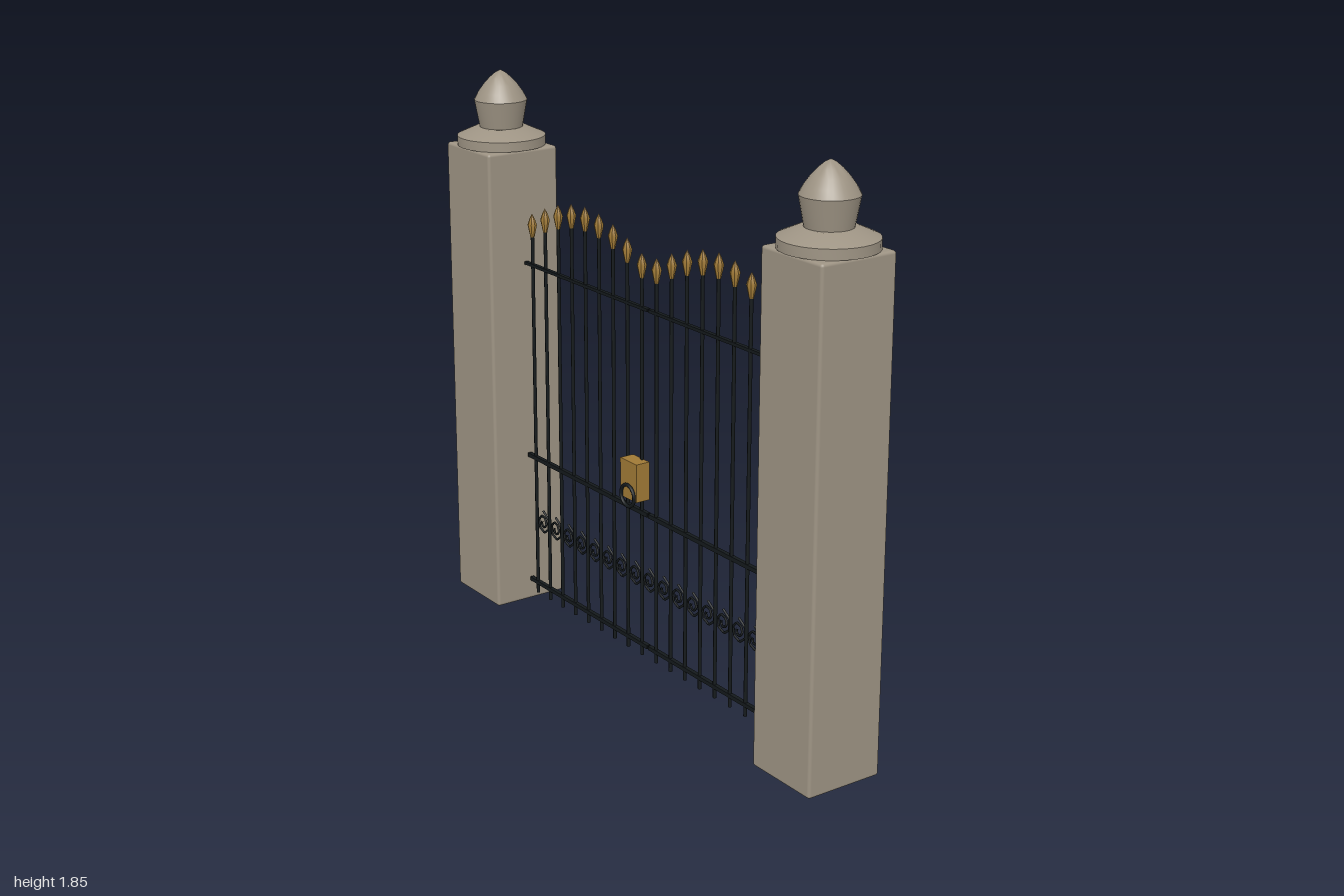
import * as THREE from 'three';
import { toCreasedNormals } from 'three/addons/utils/BufferGeometryUtils.js';
import { RoundedBoxGeometry } from 'three/addons/geometries/RoundedBoxGeometry.js';

const material = (name, color) => {
  const m = new THREE.MeshStandardMaterial({ color });
  m.name = name;
  return m;
};

export function createModel() {
  const stone = material('stone', 0x9e9484);
  const iron = material('iron', 0x14191b);
  const brass = material('brass', 0xa07a36);
  const model = new THREE.Group();
  model.name = 'gate';

  const add = (parent, name, geometry, mat, x = 0, y = 0, z = 0) => {
    const mesh = new THREE.Mesh(geometry, mat);
    mesh.name = name;
    mesh.position.set(x, y, z);
    parent.add(mesh);
    return mesh;
  };
  const lathe = (points, sides) => toCreasedNormals(
    new THREE.LatheGeometry(points.map(([r, y]) => new THREE.Vector2(r, y)), sides), 0.55);

  // Stone pillars with round caps and acorn finials
  const pillarGeo = new RoundedBoxGeometry(0.267, 1.6, 0.267, 2, 0.01);
  const capGeo = lathe([[0, 0], [0.147, 0], [0.147, 0.032], [0.085, 0.06], [0, 0.06]], 32);
  const acornGeo = lathe([[0, 0], [0.071, 0], [0.088, 0.092], [0.074, 0.118], [0.056, 0.143],
    [0.036, 0.165], [0.016, 0.182], [0, 0.19]], 32);
  for (const side of [-1, 1]) {
    const pillar = new THREE.Group();
    pillar.name = side < 0 ? 'rightPillar' : 'leftPillar';
    pillar.position.x = side * 0.853;
    add(pillar, 'pillarShaft', pillarGeo, stone, 0, 0.8);
    add(pillar, 'pillarCap', capGeo, stone, 0, 1.6);
    add(pillar, 'pillarFinial', acornGeo, stone, 0, 1.658);
    model.add(pillar);
  }

  // Small scroll: a coarse spiral tube
  const spiral = [];
  for (let i = 0; i <= 12; i++) {
    const a = Math.PI / 2 - i * Math.PI / 3.2;
    const r = 0.044 - 0.0029 * i;
    spiral.push(new THREE.Vector3(r * 0.93 * Math.cos(a), r * Math.sin(a), 0));
  }
  const path = new THREE.CurvePath();
  for (let i = 0; i < 12; i++) path.add(new THREE.LineCurve3(spiral[i], spiral[i + 1]));
  const scrollGeo = new THREE.TubeGeometry(path, 36, 0.0042, 5);

  // Two leaves, each with nine arched bars, spear tips, scrolls and rails
  const spearGeo = lathe([[0, 0], [0.007, 0], [0.016, 0.042], [0.009, 0.062], [0, 0.08]], 8);
  const pitch = 0.0788;
  for (const side of [-1, 1]) {
    const leaf = new THREE.Group();
    leaf.name = side < 0 ? 'rightLeaf' : 'leftLeaf';
    for (let k = 0; k < 9; k++) {
      const x = (side < 0 ? -0.67 : 0.0394) + k * pitch;
      const tip = 1.396 + 0.085 * Math.sin(Math.PI * k / 8);
      const height = tip - 0.075 - 0.04;
      add(leaf, 'bar', new THREE.CylinderGeometry(0.006, 0.006, height, 8), iron, x, 0.04 + height / 2);
      add(leaf, 'spearTip', spearGeo, brass, x, tip - 0.08);
      add(leaf, 'scroll', scrollGeo, iron, x + pitch / 2, 0.312);
    }
    for (const [y, h] of [[0.08, 0.013], [0.54, 0.014], [1.22, 0.01]]) {
      add(leaf, 'rail', new THREE.BoxGeometry(0.708, h, 0.014), iron, side * 0.357, y);
    }
    model.add(leaf);
  }

  // Brass lock with an iron ring handle
  add(model, 'lock', new THREE.BoxGeometry(0.09, 0.128, 0.05), brass, -0.05, 0.655, 0.021);
  add(model, 'ringHandle', new THREE.TorusGeometry(0.036, 0.006, 8, 24), iron, -0.05, 0.603, 0.049);

  return model;
}
